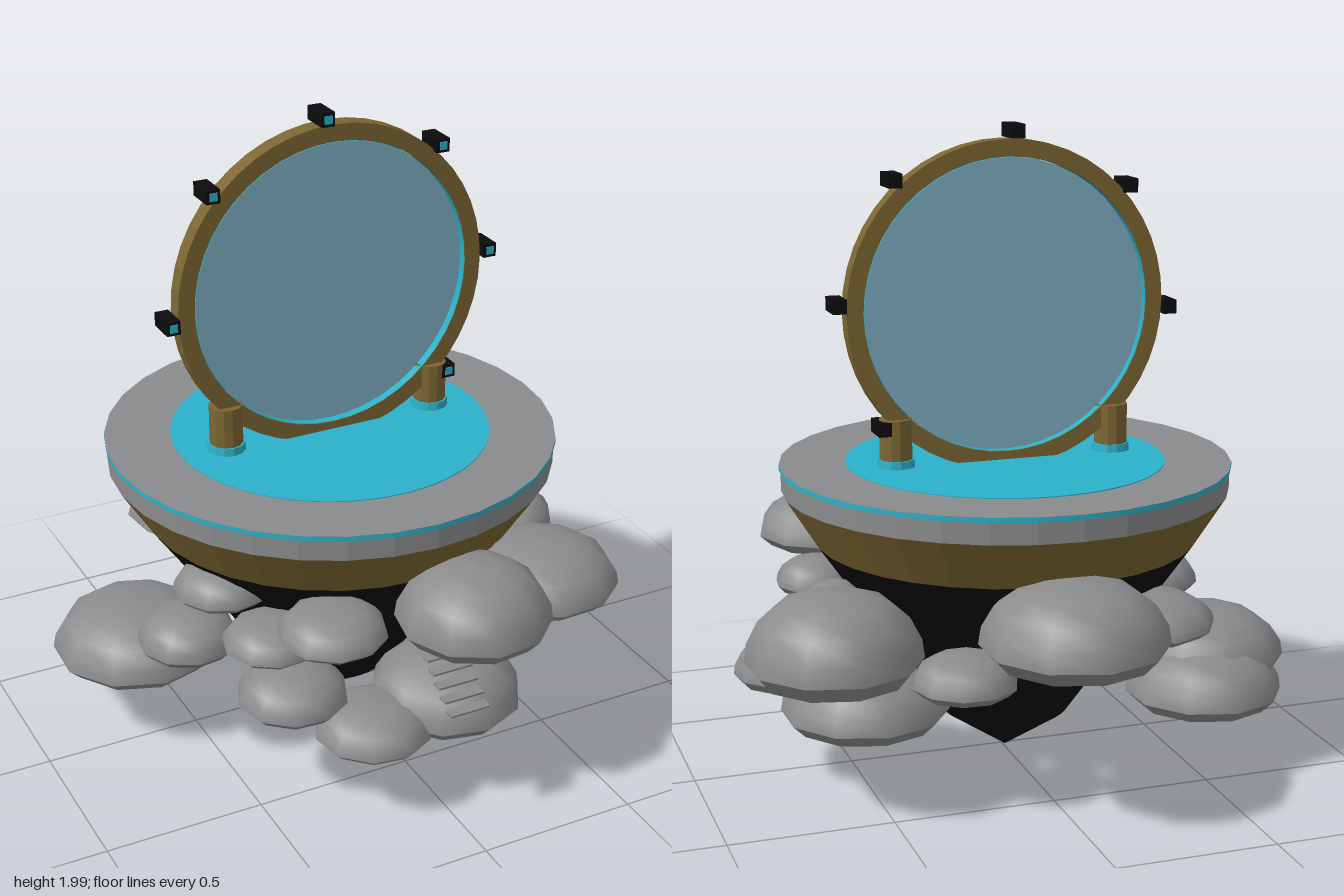
import * as THREE from 'three';
import { mergeGeometries } from 'three/addons/utils/BufferGeometryUtils.js';

const CX = -0.008, CZ = -0.013; // axis of the platform

function mat(name, color, side = THREE.FrontSide) {
  const m = new THREE.MeshStandardMaterial({ color, side });
  m.name = name;
  return m;
}

// faceted copy of a geometry
function flat(geometry) {
  const g = geometry.toNonIndexed();
  g.computeVertexNormals();
  return g;
}

function lathe(points, segments) {
  return new THREE.LatheGeometry(points.map(([r, y]) => new THREE.Vector2(r, y)), segments);
}

// flat-bottomed boulder of unit radius and unit height, creased at its underside
function boulderGeometry() {
  return mergeGeometries([
    lathe([[0, 0], [0.84, 0]], 10),
    lathe([[0.84, 0], [1, 0.2]], 10),
    lathe([[1, 0.2], [0.97, 0.42], [0.84, 0.68], [0.62, 0.87], [0.33, 0.97], [0, 1]], 10),
  ]);
}

export function createModel() {
  const stone = mat('stone grey', 0x8a8b8c);
  const gold = mat('dark gold', 0x7c6632);
  const black = mat('black', 0x0c0c0c);
  const cyan = mat('glowing cyan', 0x2bb1ca, THREE.DoubleSide);
  const glass = mat('pale blue', 0x7eb0c5, THREE.DoubleSide);

  const model = new THREE.Group();
  const add = (name, geometry, material, x, y, z, parent = model) => {
    const mesh = new THREE.Mesh(geometry, material);
    mesh.name = name;
    mesh.position.set(x, y, z);
    parent.add(mesh);
    return mesh;
  };

  // floating island: black spike, gold band, stone deck
  add('spike', flat(lathe([[0, 0.005], [0.2, 0.14], [0.6, 0.715]], 32)), black, CX, 0, CZ);
  add('goldBand', flat(lathe([[0.6, 0.715], [0.7, 0.875]], 32)), gold, CX, 0, CZ);
  add('deck', flat(lathe([[0.7, 0.875], [0.7, 0.957], [0, 0.957]], 32)), stone, CX, 0, CZ);
  add('deckRim', new THREE.CylinderGeometry(0.706, 0.706, 0.015, 32, 1, true), cyan, CX, 0.949, CZ);
  const lip = add('deckLip', new THREE.RingGeometry(0.69, 0.706, 32), stone, CX, 0.9575, CZ);
  lip.rotation.x = -Math.PI / 2;
  add('pool', new THREE.CylinderGeometry(0.5, 0.5, 0.004, 64), cyan, CX, 0.958, CZ);

  // upright portal ring with its pane
  const portal = new THREE.Group();
  portal.name = 'portal';
  portal.position.set(CX, 1.442, CZ);
  model.add(portal);
  const ring = lathe([[0.457, -0.028], [0.51, -0.028], [0.51, 0.028], [0.457, 0.028], [0.457, -0.028]], 48);
  add('portalRing', flat(ring.rotateX(Math.PI / 2)), gold, 0, 0, 0, portal);
  const liner = new THREE.CylinderGeometry(0.455, 0.455, 0.056, 48, 1, true).rotateX(Math.PI / 2);
  add('portalLiner', liner, cyan, 0, 0, 0, portal);
  add('portalPane', new THREE.CircleGeometry(0.455, 48), glass, 0, 0, 0, portal);

  // marker blocks round the ring, each with a lit front
  for (let k = -1; k < 5; k++) {
    const a = THREE.MathUtils.degToRad(3 + 45 * k);
    const x = 0.534 * Math.cos(a), y = 0.534 * Math.sin(a);
    add('marker', new THREE.BoxGeometry(0.043, 0.043, 0.095), black, x, y, 0.002, portal);
    add('markerLight', new THREE.BoxGeometry(0.025, 0.025, 0.004), cyan, x, y, 0.05, portal);
  }

  // posts either side of the ring
  for (const s of [-1, 1]) {
    const x = CX + s * 0.354;
    add('post', flat(new THREE.CylinderGeometry(0.052, 0.052, 0.15, 12)), gold, x, 1.035, CZ);
    add('postFoot', flat(new THREE.CylinderGeometry(0.058, 0.061, 0.028, 12)), cyan, x, 0.97, CZ);
  }

  // boulders hovering about the spike: x, z, radius, bottom, top
  const boulders = [
    [0, -0.665, 0.28, 0.51, 0.75],
    [0.64, -0.37, 0.265, 0.43, 0.69],
    [0.74, -0.13, 0.15, 0.35, 0.49],
    [0.57, -0.1, 0.11, 0.5, 0.64],
    [0.275, -0.485, 0.16, 0.38, 0.5],
    [0.42, 0.58, 0.235, 0.57, 0.74],
    [0.11, 0.7, 0.235, 0.575, 0.795],
    [0.53, 0.31, 0.13, 0.49, 0.6],
    [0.53, 0.35, 0.14, 0.345, 0.43],
    [0.46, -0.03, 0.265, 0.145, 0.35],
    [0.09, 0.58, 0.235, 0.245, 0.44],
    [-0.18, 0.62, 0.18, 0.235, 0.36],
    [-0.38, 0.48, 0.17, 0.33, 0.46],
    [-0.29, 0.57, 0.165, 0.58, 0.69],
    [-0.41, 0.4, 0.15, 0.49, 0.59],
    [-0.59, 0.18, 0.155, 0.42, 0.55],
    [-0.48, 0.2, 0.15, 0.59, 0.7],
    [-0.645, -0.12, 0.265, 0.24, 0.44],
    [-0.6, -0.24, 0.25, 0.165, 0.36],
    [-0.3, -0.45, 0.22, 0.5, 0.62],
  ];
  const boulder = boulderGeometry();
  boulders.forEach(([x, z, r, y0, y1], i) => {
    const mesh = add('boulder', boulder, stone, x, y0, z);
    mesh.scale.set(r, y1 - y0, r);
    mesh.rotation.y = i * 0.7;
  });

  // thin floating steps climbing towards the spike
  for (let i = 0; i < 7; i++) {
    add('step', new THREE.BoxGeometry(0.13, 0.007, 0.036), stone, -0.008, 0.438 + i * 0.0265, 0.882 - i * 0.036);
  }

  return model;
}
